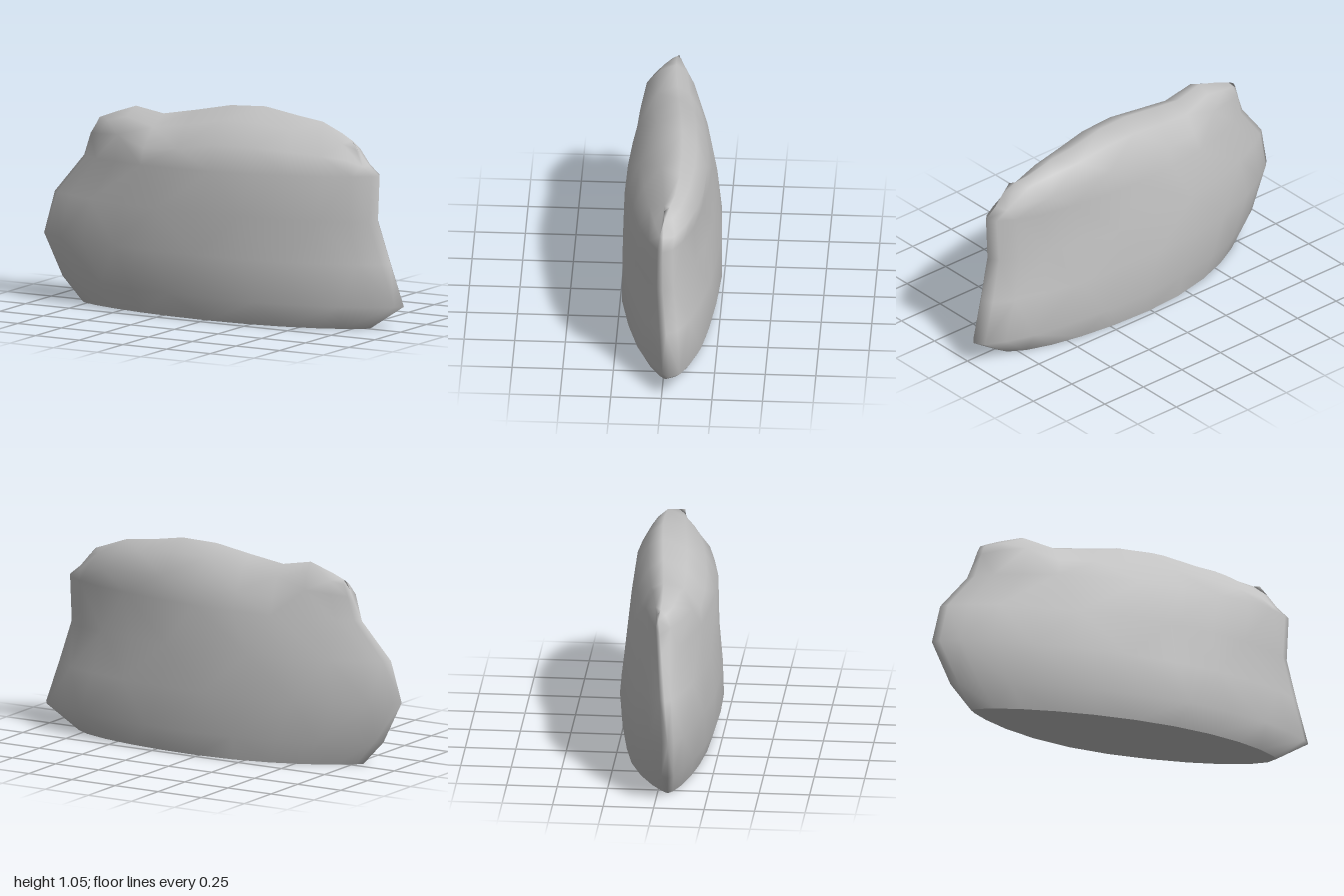
import * as THREE from 'three';
import { mergeVertices } from 'three/addons/utils/BufferGeometryUtils.js';

const SIDES = 24;

// Height of the crest along x
const CREST = [[-0.8, 0.75], [-0.73, 0.92], [-0.52, 1.0], [-0.37, 0.97], [-0.2, 1.0], [0, 1.04],
  [0.15, 1.056], [0.32, 1.025], [0.52, 1.0], [0.73, 0.92], [0.88, 0.78]];

function crest(x) {
  let i = 1;
  while (i < CREST.length - 1 && x > CREST[i][0]) i++;
  return THREE.MathUtils.mapLinear(x, CREST[i - 1][0], CREST[i][0], CREST[i - 1][1], CREST[i][1]);
}

// Cross-sections from the ground up: x ends, z at those ends, z front and back.
// y is a fixed level; drop is a depth below the crest instead.
const RINGS = [
  { y: 0, x: [-0.79, 0.82], end: [0.05, -0.01], z: [0.2, -0.22] },
  { y: 0.12, x: [-0.9, 0.995], end: [0.06, -0.04], z: [0.24, -0.245] },
  { y: 0.33, x: [-1.0, 0.93], end: [0.07, -0.02], z: [0.245, -0.245] },
  { y: 0.54, x: [-0.95, 0.87], end: [0.05, 0], z: [0.232, -0.222] },
  { y: 0.75, tilt: 0.02, x: [-0.8, 0.88], end: [0.02, 0], z: [0.215, -0.2] },
  { drop: 0.17, x: [-0.765, 0.82], end: [0.01, 0], z: [0.17, -0.18] },
  { drop: 0.06, x: [-0.74, 0.77], end: [0, 0], z: [0.075, -0.12] },
  { drop: 0, x: [-0.725, 0.73], end: [0, 0], z: [-0.045, -0.045] },
];

// How hard each quarter of the flanks tapers toward its end
function taper(c, s) {
  if (s >= 0) return c > 0 ? 1.5 : 1.35;
  return c > 0 ? 1.05 : 1.7;
}

function ringPoint(r, i, j) {
  const a = (j / SIDES) * Math.PI * 2, c = Math.cos(a), s = Math.sin(a);
  const t = (c + 1) / 2, h = Math.abs(s), upper = 'drop' in r;
  const bulge = h ** (upper ? 1.15 : taper(c, s));
  const x = r.x[0] + (r.x[1] - r.x[0]) * t;
  const mid = r.end[0] + (r.end[1] - r.end[0]) * t;
  const side = s >= 0 ? r.z[0] : r.z[1];
  const y = upper ? crest(x) - r.drop * (0.1 + 0.9 * bulge) : r.y + (r.tilt || 0) * c;
  // The crest twists forward at -x; the flanks are slightly chiselled
  const shift = upper ? -0.07 * c * h : i && 0.004 * Math.sin(j * 2.4 + i * 1.9) * s;
  return [x, y, mid * (1 - bulge) + side * bulge + shift];
}

export function createModel() {
  const group = new THREE.Group();
  group.name = 'boulder';
  const stone = new THREE.MeshStandardMaterial({ color: 0xc2c2c2 });
  stone.name = 'pale grey stone';

  // Rock body lofted through the cross-sections, pinched shut along the crest
  const positions = [], index = [];
  RINGS.forEach((r, i) => {
    for (let j = 0; j < SIDES; j++) positions.push(...ringPoint(r, i, j));
  });
  for (let i = 0; i < RINGS.length - 1; i++) {
    for (let j = 0; j < SIDES; j++) {
      const k = (j + 1) % SIDES;
      const a = i * SIDES + j, b = i * SIDES + k, c = a + SIDES, d = b + SIDES;
      if ((i + j) % 2) index.push(b, a, c, b, c, d);
      else index.push(b, a, d, a, c, d);
    }
  }
  const lofted = new THREE.BufferGeometry();
  lofted.setAttribute('position', new THREE.Float32BufferAttribute(positions, 3));
  lofted.setIndex(index);
  const smooth = mergeVertices(lofted, 1e-4);
  smooth.computeVertexNormals();
  const body = new THREE.Mesh(smooth, stone);
  body.name = 'rockBody';
  group.add(body);

  // Flat underside
  const outline = [];
  for (let j = 0; j < SIDES; j++) {
    const [x, , z] = ringPoint(RINGS[0], 0, j);
    outline.push(new THREE.Vector2(x, z));
  }
  const base = new THREE.Mesh(new THREE.ShapeGeometry(new THREE.Shape(outline)), stone);
  base.geometry.rotateX(Math.PI / 2);
  base.name = 'underside';
  group.add(base);
  return group;
}
